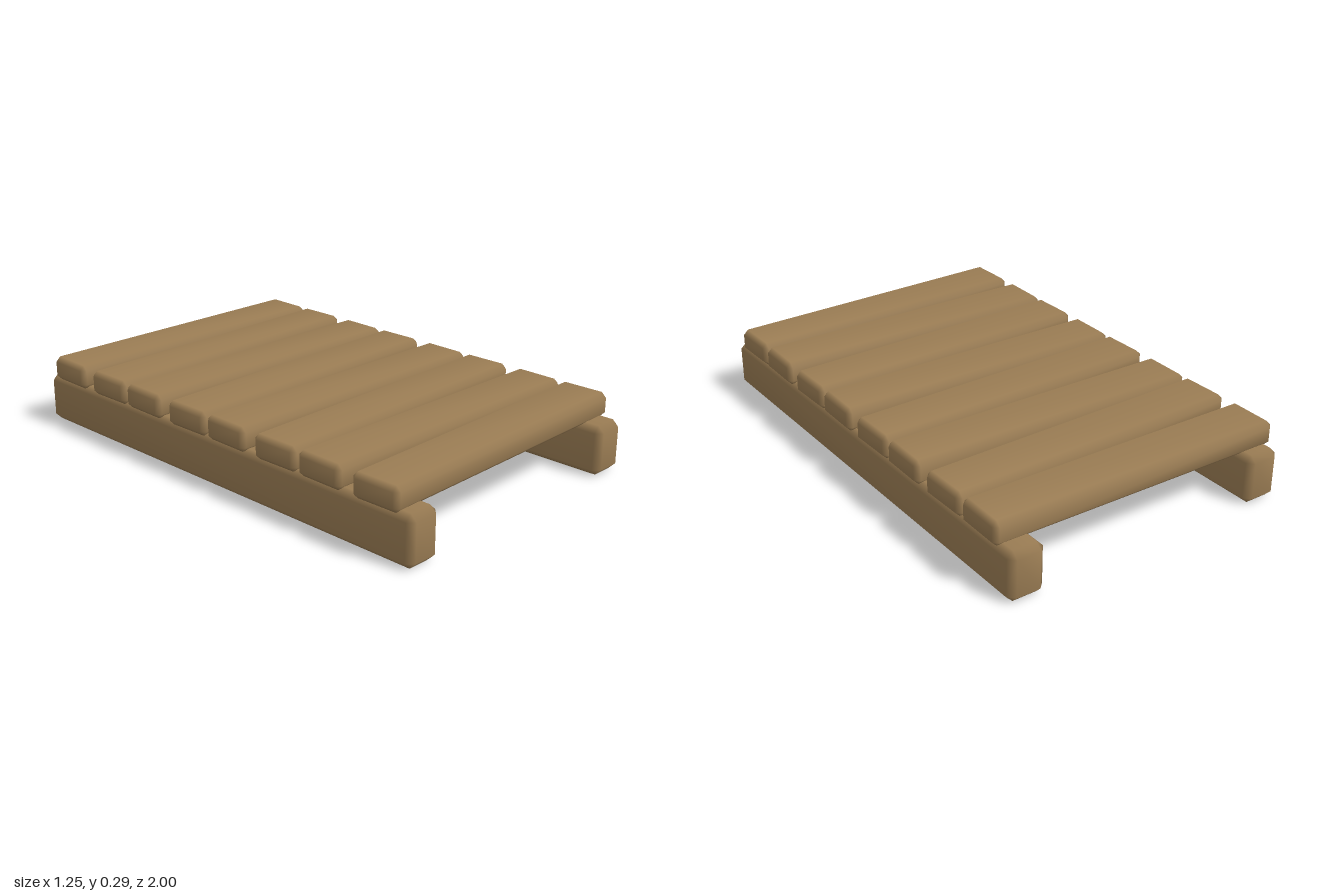
import * as THREE from 'three';
import { ConvexGeometry } from 'three/addons/geometries/ConvexGeometry.js';
import { mergeVertices } from 'three/addons/utils/BufferGeometryUtils.js';

// Box with chamfered edges and softly blended normals
function chamferedBox(w, h, d, c) {
  const points = [];
  for (const sx of [-1, 1]) for (const sy of [-1, 1]) for (const sz of [-1, 1]) {
    const x = w / 2, y = h / 2, z = d / 2;
    points.push(
      new THREE.Vector3(sx * x, sy * (y - c), sz * (z - c)),
      new THREE.Vector3(sx * (x - c), sy * y, sz * (z - c)),
      new THREE.Vector3(sx * (x - c), sy * (y - c), sz * z)
    );
  }
  const hull = new ConvexGeometry(points);
  hull.deleteAttribute('normal');
  const geometry = mergeVertices(hull, 1e-4);
  geometry.computeVertexNormals();
  return geometry;
}

export function createModel() {
  const model = new THREE.Group();
  model.name = 'slattedPlatform';
  const wood = new THREE.MeshStandardMaterial({ color: 0x9b7d54 });
  wood.name = 'brownWood';

  // Two long rails on the ground
  const railGeometry = chamferedBox(0.148, 0.2, 2, 0.026);
  for (const side of [-1, 1]) {
    const rail = new THREE.Mesh(railGeometry, wood);
    rail.name = side > 0 ? 'leftRail' : 'rightRail';
    rail.position.set(side * 0.537, 0.1, 0);
    model.add(rail);
  }

  // Eight cross slats, each turned slightly askew
  const slatGeometry = chamferedBox(1.245, 0.098, 0.207, 0.02);
  const tilts = [-1, 1, -1, 1, -1, 1, -1, 1];
  tilts.forEach((tilt, i) => {
    const slat = new THREE.Mesh(slatGeometry, wood);
    slat.name = `slat${i + 1}`;
    slat.position.set(0, 0.239, -0.835 + i * 0.238);
    slat.rotation.y = tilt * 0.0165;
    model.add(slat);
  });

  return model;
}
